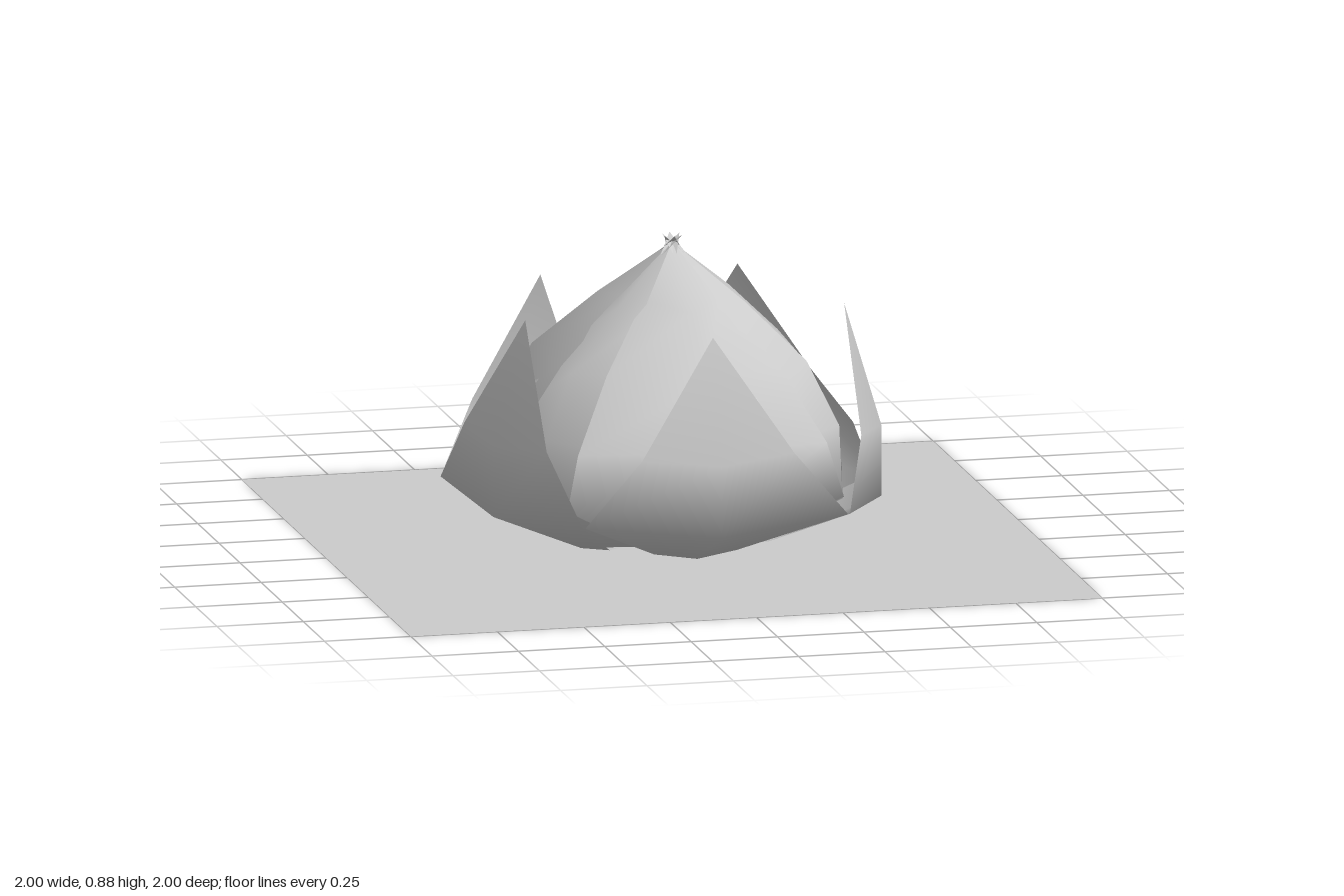
import * as THREE from 'three';

const material = new THREE.MeshStandardMaterial({ color: 0xcccccc, side: THREE.DoubleSide });

// Each row is [half width, edge height, edge reach, middle height, middle reach].
// The single points at both ends are rows of zero width.
function petalGeometry(rows) {
  const positions = [];
  const index = [];
  rows.forEach(([w, ey, ez, my, mz]) => {
    positions.push(-w, ey, ez, 0, my, mz, w, ey, ez);
  });
  for (let r = 0; r < rows.length - 1; r++) {
    for (let c = 0; c < 2; c++) {
      const a = r * 3 + c, b = a + 1, d = a + 3, e = a + 4;
      if (rows[r][0] === 0) index.push(c ? a : b, e, d);
      else if (rows[r + 1][0] === 0) index.push(a, b, c ? d : e);
      else index.push(a, b, e, a, e, d);
    }
  }
  const g = new THREE.BufferGeometry();
  g.setAttribute('position', new THREE.Float32BufferAttribute(positions, 3));
  g.setIndex(index);
  // share the end points so the shading stays smooth across the middle line
  const last = (rows.length - 1) * 3;
  g.setIndex(index.map(i => (i < 3 ? 1 : i >= last ? last + 1 : i)));
  g.computeVertexNormals();
  return g;
}

function ring(name, geometry, angles, scale = 1) {
  const group = new THREE.Group();
  group.name = name;
  angles.forEach(deg => {
    const petal = new THREE.Mesh(geometry, material);
    petal.name = 'petal';
    petal.rotation.y = THREE.MathUtils.degToRad(deg);
    petal.scale.set(scale, 1, scale);
    group.add(petal);
  });
  return group;
}

export function createModel() {
  const model = new THREE.Group();
  model.name = 'flowerBud';

  // Square ground sheet
  const base = new THREE.Mesh(new THREE.PlaneGeometry(2, 2), material);
  base.name = 'baseSheet';
  base.rotation.x = -Math.PI / 2;
  model.add(base);

  // Short open petals around the outside
  const outer = petalGeometry([
    [0, 0.01, 0, 0.01, 0],
    [0.12, 0.025, 0.28, 0.01, 0.3],
    [0.38, 0.17, 0.53, 0.135, 0.59],
    [0.22, 0.36, 0.55, 0.34, 0.59],
    [0, 0.69, 0.485, 0.69, 0.485],
  ]);
  model.add(ring('outerPetals', outer, [0, 72, 144, 216, 288]));

  // Tall petals closing over the centre; their tips cross slightly at the top
  const inner = petalGeometry([
    [0, 0.015, 0, 0.015, 0],
    [0.15, 0.04, 0.25, 0.02, 0.29],
    [0.4, 0.19, 0.4, 0.15, 0.52],
    [0.36, 0.34, 0.36, 0.36, 0.51],
    [0.25, 0.54, 0.25, 0.54, 0.41],
    [0.11, 0.72, 0.11, 0.7, 0.22],
    [0, 0.88, -0.03, 0.88, -0.03],
  ]);
  model.add(ring('innerPetals', inner, [0, 120, 240]));
  model.add(ring('heartPetals', inner, [60, 180, 300], 0.96));

  return model;
}
